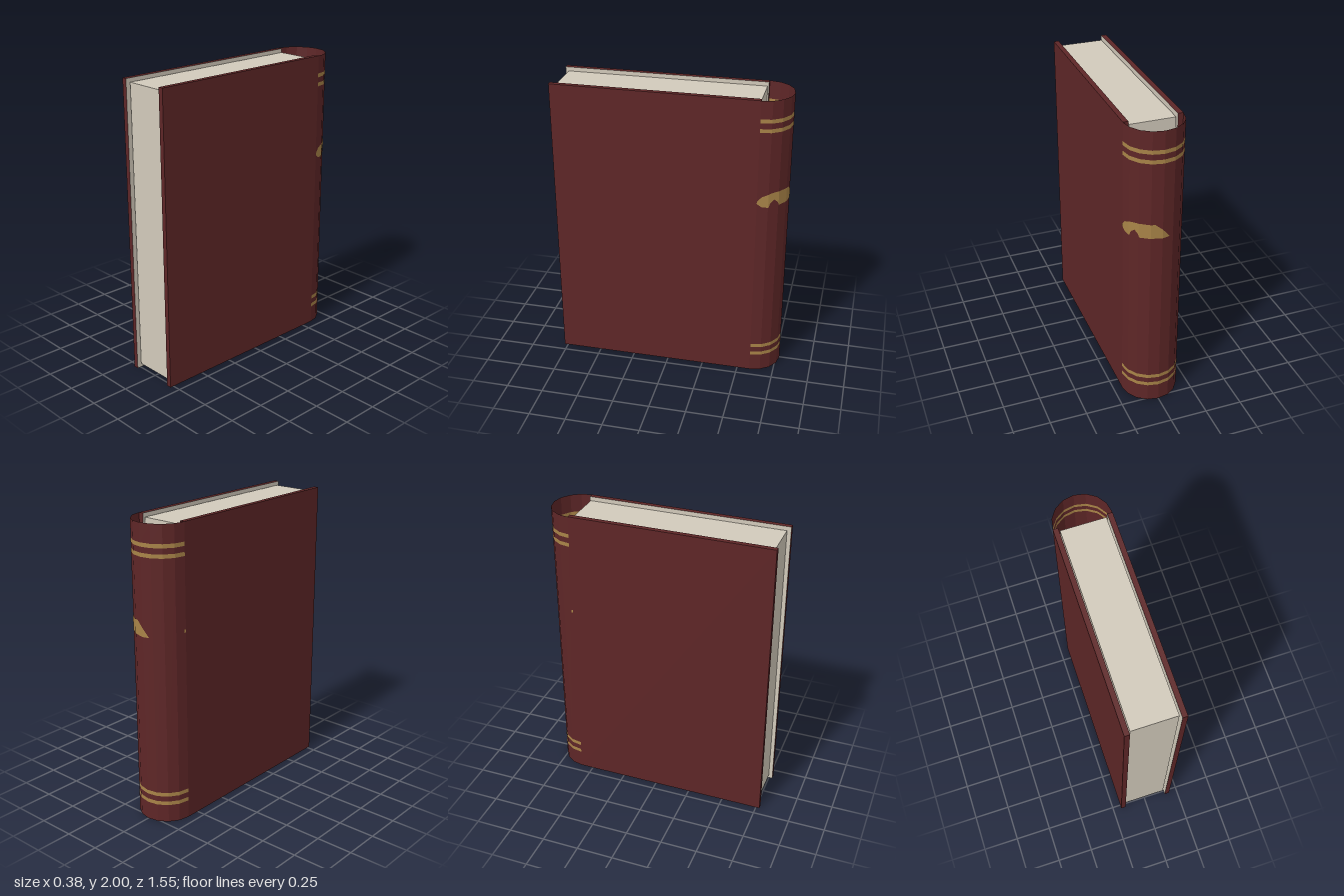
import * as THREE from 'three';

export function createModel() {
  const model = new THREE.Group();
  model.name = 'book';

  const mat = (name, color, opts = {}) => {
    const m = new THREE.MeshStandardMaterial({ color, flatShading: true, ...opts });
    m.name = name;
    return m;
  };
  const red = mat('coverRed', 0x5e2627, { side: THREE.DoubleSide });
  const cream = mat('paperCream', 0xd2cabb);
  const gold = mat('gold', 0xa98448, { side: THREE.DoubleSide });

  const add = (name, geo, material, parent = model) => {
    const mesh = new THREE.Mesh(geo, material);
    mesh.name = name;
    parent.add(mesh);
    return mesh;
  };

  // Page block
  add('pages', new THREE.BoxGeometry(0.296, 1.945, 1.33), cream)
    .position.set(0, 1.0025, 0.085);

  // Two boards, each with a paper-lined inner face
  for (const side of [1, -1]) {
    const faces = [red, red, red, red, red, red];
    faces[side > 0 ? 1 : 0] = cream;
    add(side > 0 ? 'leftCover' : 'rightCover', new THREE.BoxGeometry(0.034, 2, 1.363), faces)
      .position.set(side * 0.173, 1, 0.0935);
  }

  // Point on the half-round, eight-sided spine; u runs from +x to -x
  const SIDES = 8;
  const spinePoint = (u, lift) => {
    const i = Math.min(Math.floor(u * SIDES + 1e-6), SIDES - 1);
    const f = u * SIDES - i;
    const corner = (k) => {
      const a = (k / SIDES) * Math.PI;
      return [(0.19 + lift) * Math.cos(a), -0.588 - (0.187 + lift) * Math.sin(a)];
    };
    const a = corner(i), b = corner(i + 1);
    return [a[0] + (b[0] - a[0]) * f, a[1] + (b[1] - a[1]) * f];
  };

  // Sheet wrapped round the spine between a lower and an upper edge
  const wrap = (u0, u1, columns, lower, upper, lift = 0) => {
    const geo = new THREE.PlaneGeometry(1, 1, columns, 1);
    const p = geo.attributes.position;
    for (let i = 0; i < p.count; i++) {
      const u = u0 + (u1 - u0) * (p.getX(i) + 0.5);
      const [x, z] = spinePoint(u, lift);
      p.setXYZ(i, x, p.getY(i) > 0 ? upper(u) : lower(u), z);
    }
    geo.computeVertexNormals();
    return geo;
  };

  // Spine rows alternate between red cloth and gold bands
  const spine = new THREE.Group();
  spine.name = 'spine';
  model.add(spine);
  const cuts = [0, 0.123, 0.149, 0.186, 0.212, 1.789, 1.815, 1.852, 1.878, 2];
  for (let i = 0; i < cuts.length - 1; i++) {
    const isGold = i % 2 === 1;
    add(isGold ? 'goldBand' : 'spineCloth',
      wrap(0, 1, SIDES, () => cuts[i], () => cuts[i + 1]), isGold ? gold : red, spine);
  }

  // Arched ornament: position round the spine, lower edge, upper edge
  const outline = [
    [0, 1.30, 1.316], [0.05, 1.278, 1.348], [0.13, 1.273, 1.368], [0.15, 1.305, 1.372],
    [0.196, 1.326, 1.376], [0.24, 1.305, 1.379], [0.256, 1.281, 1.379], [0.42, 1.281, 1.378],
    [0.5, 1.279, 1.34], [0.58, 1.28, 1.282],
  ];
  const edge = (column) => (u) => {
    let i = 0;
    while (i < outline.length - 2 && u > outline[i + 1][0]) i++;
    const a = outline[i], b = outline[i + 1];
    return THREE.MathUtils.lerp(a[column], b[column], (u - a[0]) / (b[0] - a[0]));
  };
  add('spineOrnament', wrap(0, 74 / 128, 74, edge(1), edge(2), 0.002), gold, spine);
  add('ornamentTip', wrap(0.98, 1, 2, () => 1.303, () => 1.323, 0.002), gold, spine);

  return model;
}
